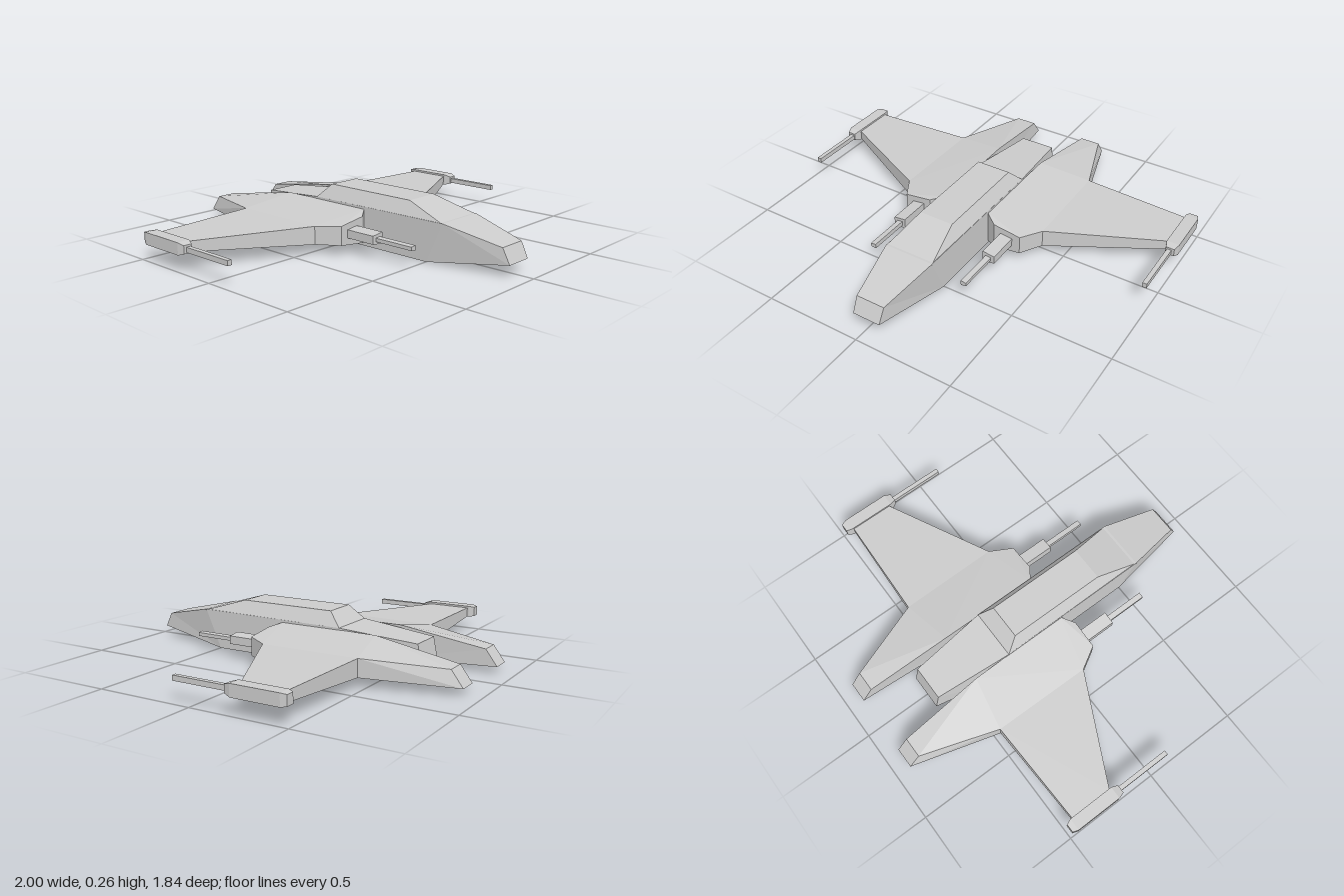
import * as THREE from 'three';

const material = new THREE.MeshStandardMaterial({ color: 0xcccccc, flatShading: true });

// Closed solid skinned over rings of corners; turned outward by its signed volume.
function loft(name, rings) {
  const n = rings[0].length;
  const tris = [];
  const quad = (a, b, c, d) => tris.push([a, b, c], [a, c, d]);
  for (let i = 0; i < rings.length - 1; i++) {
    for (let j = 0; j < n; j++) {
      const k = (j + 1) % n;
      quad(rings[i][j], rings[i][k], rings[i + 1][k], rings[i + 1][j]);
    }
  }
  const first = rings[0], last = rings[rings.length - 1];
  for (let j = 1; j < n - 1; j++) {
    tris.push([first[0], first[j + 1], first[j]], [last[0], last[j], last[j + 1]]);
  }
  let volume = 0;
  const a = new THREE.Vector3(), b = new THREE.Vector3(), c = new THREE.Vector3();
  for (const t of tris) {
    volume += a.fromArray(t[0]).dot(b.fromArray(t[1]).cross(c.fromArray(t[2])));
  }
  if (volume < 0) tris.forEach((t) => t.reverse());
  const geometry = new THREE.BufferGeometry();
  geometry.setAttribute('position', new THREE.Float32BufferAttribute(tris.flat(2), 3));
  geometry.computeVertexNormals();
  const mesh = new THREE.Mesh(geometry, material);
  mesh.name = name;
  return mesh;
}

// Four-cornered ring, symmetric about x = 0
const crossRing = (topZ, topY, topW, botZ, botY, botW) => [
  [-topW, topY, topZ], [topW, topY, topZ], [botW, botY, botZ], [-botW, botY, botZ],
];

// Level rectangle used as a ring
const levelRing = (w, y, z0, z1) => [[-w, y, z0], [w, y, z0], [w, y, z1], [-w, y, z1]];

// Upright rectangle at z, shorter on its outer edge by "lean" above and below
const frontRing = (x0, x1, y0, y1, z, lean = 0) => [
  [x0, y1, z], [x1, y1 - lean, z], [x1, y0 + lean, z], [x0, y0, z],
];

// Wing corners: top and bottom point of each
const corner = (x, z, top, bottom, topZ = z) => ({ top: [x, top, topZ], bottom: [x, bottom, z] });
const rootFront = corner(0.125, 0.105, 0.185, 0.015);
const rootBack = corner(0.13, -0.42, 0.185, 0.015);
const kinkFront = corner(0.4, 0.04, 0.14, 0.05);
const kinkBack = corner(0.395, -0.47, 0.14, 0.05);
const tipFront = corner(0.945, -0.23, 0.13, 0.08);
const tipBack = corner(0.945, -0.45, 0.13, 0.08);
const boomInner = corner(0.155, -0.92, 0.115, 0.035, -0.86);
const boomOuter = corner(0.26, -0.92, 0.115, 0.035, -0.86);
const noseInner = corner(0.19, 0.152, 0.167, 0.035);
const noseOuter = corner(0.335, 0.152, 0.147, 0.052);
const span = (p, q) => [p.top, q.top, q.bottom, p.bottom];

// Parts of one side, given for +x
const sideParts = {
  wing: [span(rootBack, rootFront), span(kinkBack, kinkFront), span(tipBack, tipFront)],
  tailBoom: [span(rootBack, kinkBack), span(boomInner, boomOuter)],
  gunFairing: [span(rootFront, kinkFront), span(noseInner, noseOuter)],
  gunHousing: [0.14, 0.315].map((z) => frontRing(0.228, 0.292, 0.073, 0.13, z, 0.008)),
  gunBarrel: [0.3, 0.53].map((z) => frontRing(0.245, 0.273, 0.088, 0.112, z, 0.003)),
  wingtipPod: [
    frontRing(0.947, 0.99, 0.09, 0.13, -0.182),
    frontRing(0.936, 1.0, 0.08, 0.14, -0.215),
    frontRing(0.936, 1.0, 0.08, 0.14, -0.46),
    frontRing(0.947, 0.99, 0.085, 0.135, -0.488),
  ],
  wingtipGun: [-0.2, 0.105].map((z) => frontRing(0.953, 0.976, 0.095, 0.12, z)),
};

export function createModel() {
  const model = new THREE.Group();
  model.name = 'fighter';

  // Hull from nose to tail
  model.add(loft('hull', [
    crossRing(0.882, 0.135, 0.075, 0.92, 0.06, 0.072),
    crossRing(0.59, 0.2, 0.13, 0.5, 0, 0.13),
    crossRing(-0.22, 0.195, 0.13, -0.4, 0, 0.13),
    crossRing(-0.62, 0.16, 0.09, -0.645, 0.04, 0.09),
  ]));

  // Raised cabin roof
  model.add(loft('cabinRoof', [
    levelRing(0.13, 0.195, 0.595, -0.22),
    levelRing(0.09, 0.265, 0.365, -0.15),
  ]));

  // Wings, booms and guns, mirrored
  for (const side of [1, -1]) {
    const group = new THREE.Group();
    group.name = side > 0 ? 'leftSide' : 'rightSide';
    for (const [name, rings] of Object.entries(sideParts)) {
      group.add(loft(name, rings.map((ring) => ring.map(([x, y, z]) => [side * x, y, z]))));
    }
    model.add(group);
  }
  return model;
}
